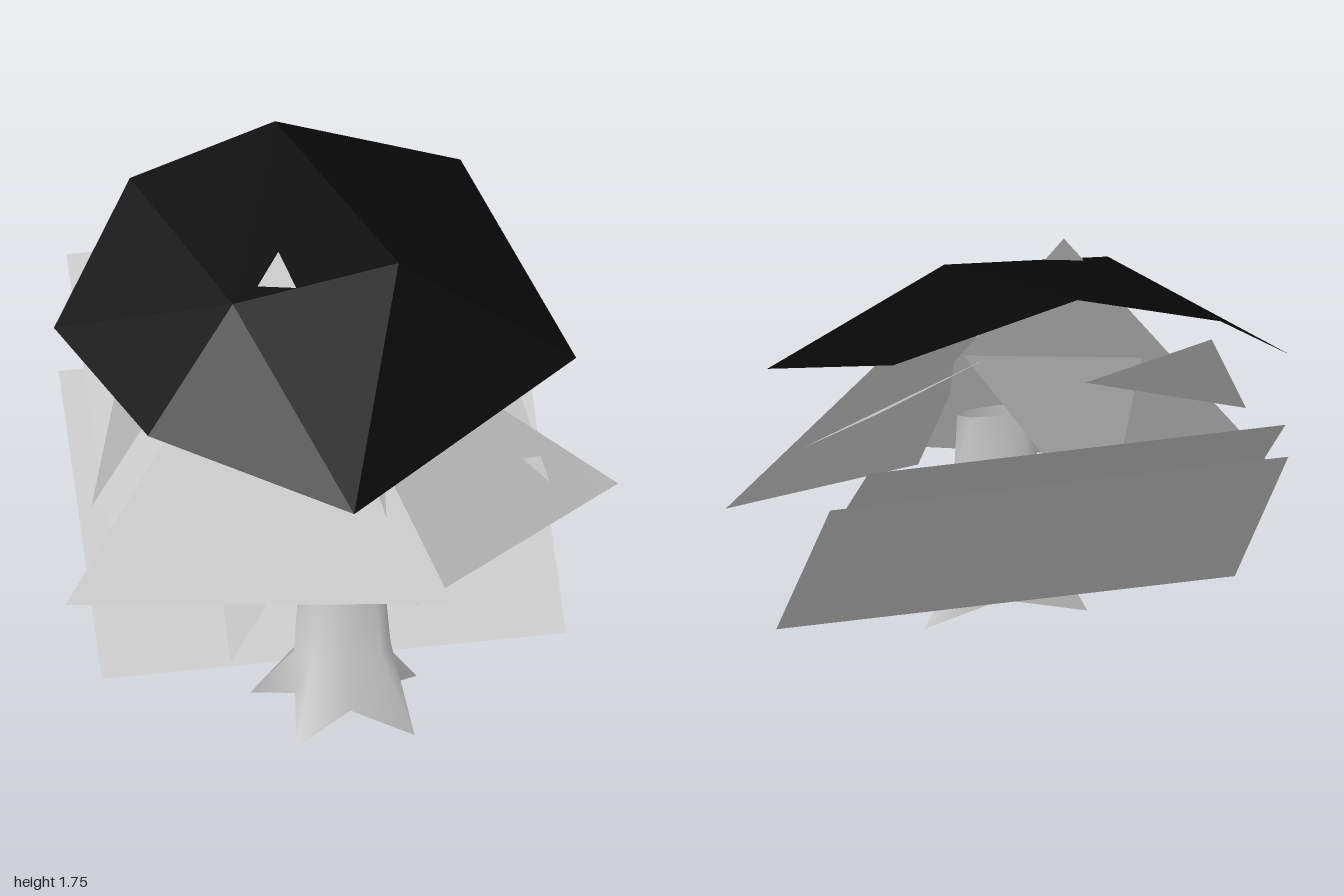
import * as THREE from 'three';

const grey = new THREE.MeshStandardMaterial({ color: 0xcccccc, side: THREE.DoubleSide });
grey.name = 'pale grey';
const black = new THREE.MeshStandardMaterial({ color: 0x080808, side: THREE.DoubleSide });
black.name = 'black';

function surface(name, points, index, material) {
  const g = new THREE.BufferGeometry();
  g.setAttribute('position', new THREE.Float32BufferAttribute(points.flat(), 3));
  g.setIndex(index);
  g.computeVertexNormals();
  const mesh = new THREE.Mesh(g, material);
  mesh.name = name;
  return mesh;
}

// Flat sheet through three or four corners
function sheet(name, corners) {
  const index = [];
  for (let i = 1; i < corners.length - 1; i++) index.push(0, i, i + 1);
  return surface(name, corners, index, grey);
}

// Trunk: flattened rings that flare into four pointed roots
function trunk() {
  const n = 8, cx = -0.033;
  const points = [], index = [];
  const base = [
    [0.14, 0.08, 0.42], [0.18, 0, 0.65], [-0.03, 0.07, 0.56], [-0.24, 0, 0.65],
    [-0.2, 0.08, 0.42], [-0.33, 0.01, 0.27], [-0.03, 0.07, 0.31], [0.26, 0.01, 0.27],
  ];
  points.push(...base);
  // y, centre z, half width, half depth
  const rings = [[0.25, 0.42, 0.172, 0.12], [0.53, 0.403, 0.15, 0.055], [0.77, 0.4, 0.14, 0.04]];
  for (const [y, cz, rx, rz] of rings) {
    for (let i = 0; i < n; i++) {
      const a = (i / n) * Math.PI * 2;
      points.push([cx + rx * Math.cos(a), y, cz + rz * Math.sin(a)]);
    }
  }
  for (let r = 0; r < rings.length; r++) {
    for (let i = 0; i < n; i++) {
      const a = r * n + i, b = r * n + (i + 1) % n;
      index.push(a, a + n, b, b, a + n, b + n);
    }
  }
  return surface('trunk', points, index, grey);
}

// Canopy: seven-cornered rim raised to a two-point ridge
function canopy() {
  const points = [
    [-0.06, 1.0, 0.78], [0.85, 1.17, 0.16], [0.59, 1.55, -0.62], [-0.06, 1.75, -0.67],
    [-0.58, 1.59, -0.65], [-0.92, 1.23, -0.29], [-0.71, 1.14, 0.35],
    [0.24, 1.56, 0.05], [-0.36, 1.49, 0.1],
  ];
  const index = [7, 8, 0, 8, 7, 3];
  for (let i = 0; i < 7; i++) index.push(i < 3 ? 7 : 8, i, (i + 1) % 7);
  const g = surface('canopy', points, index, black);
  g.geometry = g.geometry.toNonIndexed();
  g.geometry.computeVertexNormals();
  return g;
}

export function createModel() {
  const tree = new THREE.Group();
  tree.name = 'tree';
  tree.add(trunk(), canopy());

  // Leaning square panels behind the trunk
  tree.add(sheet('lowerBackPanel', [
    [-0.85, 0.1, 0.23], [0.8, 0.1, 0.23], [0.785, 0.935, -0.49], [-0.865, 0.935, -0.485]]));
  tree.add(sheet('upperBackPanel', [
    [-0.77, 0.53, -0.065], [0.73, 0.53, -0.065], [0.72, 1.22, -0.78], [-0.78, 1.225, -0.785]]));

  // Pointed leaves hanging around the crown
  tree.add(sheet('frontLeaf', [[-1, 0.475, 0.33], [0.31, 0.535, 0.68], [-0.18, 1.63, 0.01]]));
  tree.add(sheet('leftFrontLeaf', [
    [0.2, 0.49, 0.59], [1, 0.64, 0.155], [0.235, 1.31, 0.2], [-0.035, 1.3, 0.34]]));
  tree.add(sheet('leftBackLeaf', [[0.73, 0.755, 0.29], [0.6, 1.27, -0.445], [0.11, 1.27, -0.12]]));
  tree.add(sheet('rightBackLeaf', [[-0.88, 0.78, 0.19], [-0.65, 1.3, -0.24], [-0.12, 1.35, -0.54]]));
  tree.add(sheet('innerLeaf', [[-0.43, 0.23, 0.42], [0.1, 1.04, 0.33], [-0.48, 1.08, 0.09]]));
  return tree;
}
